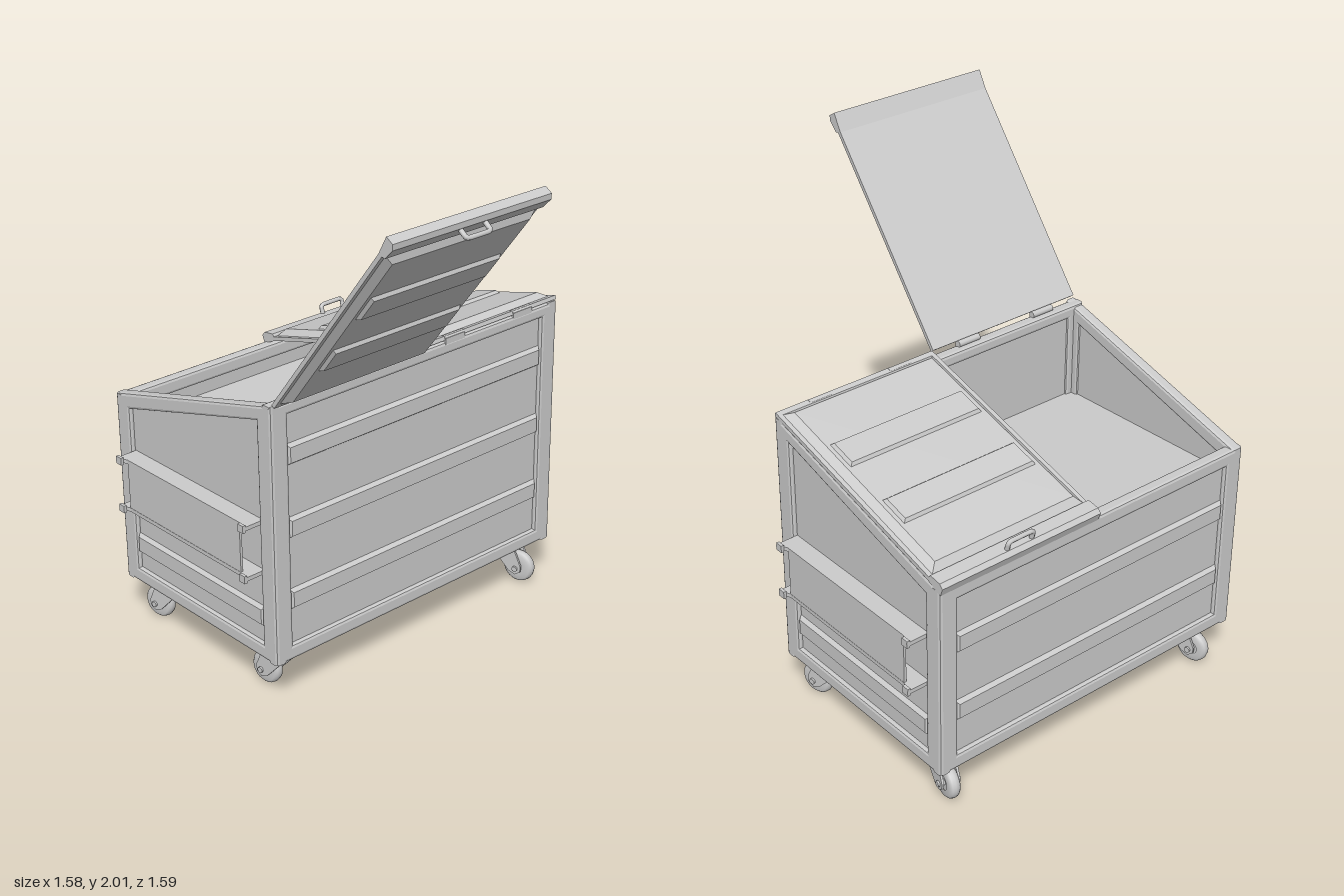
import * as THREE from 'three';

const mat = new THREE.MeshStandardMaterial({ color: 0xcccccc });

function add(parent, name, geo, x = 0, y = 0, z = 0) {
  const m = new THREE.Mesh(geo, mat);
  m.name = name;
  m.position.set(x, y, z);
  parent.add(m);
  return m;
}

function group(parent, name, x = 0, y = 0, z = 0) {
  const g = new THREE.Group();
  g.name = name;
  g.position.set(x, y, z);
  parent.add(g);
  return g;
}

const path = (pts) => pts.map(([x, y]) => new THREE.Vector2(x, y));

// Plate cut from an outline, centred on z = 0, with optional opening and chamfer
function plate(outline, thick, opening, bevel = 0) {
  const s = new THREE.Shape(path(outline));
  if (opening) s.holes.push(new THREE.Path(path(opening)));
  const depth = thick - 2 * bevel;
  return new THREE.ExtrudeGeometry(s, {
    depth, bevelEnabled: bevel > 0, bevelSize: bevel, bevelThickness: bevel,
    bevelOffset: -bevel, bevelSegments: 2,
  }).translate(0, 0, -depth / 2);
}

// Box standing on y = 0 whose top is drawn in on all sides
function taperedBox(w, h, d, inset) {
  const geo = new THREE.BoxGeometry(w, h, d).translate(0, h / 2, 0);
  const p = geo.attributes.position;
  for (let i = 0; i < p.count; i++) {
    if (p.getY(i) > h / 2) {
      p.setX(i, p.getX(i) - Math.sign(p.getX(i)) * inset);
      p.setZ(i, p.getZ(i) - Math.sign(p.getZ(i)) * inset);
    }
  }
  geo.computeVertexNormals();
  return geo;
}

const rect = (x0, x1, y0, y1) => [[x0, y0], [x1, y0], [x1, y1], [x0, y1]];

function buildBody(root) {
  const body = group(root, 'body');
  // Filled lower part, its top is the inner floor
  add(body, 'innerFloor', plate([[-0.74, 0.2], [0.145, 0.2], [0.145, 0.84], [-0.74, 0.87]], 1.39));
  add(body, 'underside', new THREE.BoxGeometry(0.9, 0.02, 1.42), -0.2975, 0.2, 0);

  // Sloping end walls with recessed panel and rib
  const end = [[-0.76, 0.19], [0.165, 0.19], [0.165, 1.235], [-0.76, 0.98]];
  const endHole = [[-0.68, 0.25], [0.085, 0.25], [0.085, 1.155], [-0.68, 0.935]];
  const endPanel = [[-0.74, 0.21], [0.145, 0.21], [0.145, 1.21], [-0.74, 0.965]];
  for (const s of [1, -1]) {
    add(body, 'endFrame', plate(end, 0.05, endHole, 0.012), 0, 0, s * 0.695);
    add(body, 'endPanel', plate(endPanel, 0.022), 0, 0, s * 0.69);
    const rib = add(body, 'endRib', taperedBox(0.77, 0.017, 0.085, 0.012), -0.2975, 0.36, s * 0.7);
    rib.rotation.x = s * Math.PI / 2;
  }

  // Tall and low long walls
  const walls = [
    { s: 1, x: 0.14, top: 1.23, hole: 1.18, ribs: [0.435, 0.727, 1.018] },
    { s: -1, x: -0.735, top: 0.98, hole: 0.92, ribs: [0.435, 0.727] },
  ];
  for (const w of walls) {
    const frame = add(body, 'longFrame', plate(rect(-0.72, 0.72, 0.19, w.top), 0.05,
      rect(-0.64, 0.64, 0.25, w.hole), 0.012), w.x);
    frame.rotation.y = Math.PI / 2;
    const panel = add(body, 'longPanel', plate(rect(-0.7, 0.7, 0.21, w.top - 0.02), 0.022), w.x - w.s * 0.005);
    panel.rotation.y = Math.PI / 2;
    for (const y of w.ribs) {
      const rib = add(body, 'longRib', taperedBox(0.085, 0.017, 1.285, 0.012), w.x + w.s * 0.005, y, 0);
      rib.rotation.z = -w.s * Math.PI / 2;
    }
  }
}

// Lifting sleeve, open at both ends, with flared flanges
function buildSleeve(root, s) {
  const g = group(root, 'liftingSleeve');
  const flange = [[-0.675, 0.695], [-0.675, 0.795], [-0.63, 0.775], [0.04, 0.775], [0.085, 0.795], [0.085, 0.695]]
    .map(([x, z]) => [x, z * s]);
  for (const y of [0.548, 0.752]) {
    const f = add(g, 'sleeveFlange', plate(flange, 0.016), 0, y, 0);
    f.rotation.x = Math.PI / 2;
  }
  add(g, 'sleevePanel', new THREE.BoxGeometry(0.67, 0.2, 0.01), -0.295, 0.65, s * 0.769);
  for (const x of [-0.66, 0.07]) {
    for (const y of [0.548, 0.752]) {
      add(g, 'sleeveTip', new THREE.BoxGeometry(0.03, 0.03, 0.012), x, y, s * 0.788);
    }
  }
}

// Lid pivots at its origin and runs towards -x when closed
function buildLid(root, name, z, angle) {
  const lid = group(root, name, 0.165, 1.238, z);
  lid.rotation.z = angle;
  add(lid, 'lidSheet', new THREE.BoxGeometry(0.955, 0.016, 0.71), -0.4825, 0.008, 0);
  // Raised bevelled border around a slightly sunken field
  add(lid, 'lidPanel', taperedBox(0.87, 0.024, 0.68, 0.03), -0.46, 0.014, 0);
  for (const x of [-0.31, -0.615]) {
    add(lid, 'lidRib', taperedBox(0.125, 0.013, 0.59, 0.01), x, 0.037, 0);
  }
  // Turned lip along the free edge
  const lip = plate([[-0.965, -0.012], [-0.89, 0.0], [-0.9, 0.028], [-0.95, 0.034], [-0.968, 0.022]], 0.71);
  add(lid, 'lidLip', lip);
  // Grip
  const grip = new THREE.CatmullRomCurve3([[0.02, -0.055], [0.06, -0.055], [0.068, -0.045], [0.068, 0.045],
    [0.06, 0.055], [0.02, 0.055]].map(([y, zz]) => new THREE.Vector3(-0.94, y, zz)), false, 'catmullrom', 0.1);
  add(lid, 'lidGrip', new THREE.TubeGeometry(grip, 24, 0.009, 8));
}

function buildHinge(root, z) {
  const g = group(root, 'hinge', 0.15, 1.24, z);
  const pin = add(g, 'hingePin', new THREE.CylinderGeometry(0.013, 0.013, 0.1, 12));
  pin.rotation.x = Math.PI / 2;
  add(g, 'hingeLeaf', new THREE.BoxGeometry(0.016, 0.04, 0.1), 0.006, -0.015, 0);
}

// Swivel caster, trailing towards -x before it is turned
function buildCaster(root, x, z, yaw) {
  const c = group(root, 'caster', x, 0, z);
  c.rotation.y = yaw;
  add(c, 'mountPlate', new THREE.BoxGeometry(0.13, 0.012, 0.13), 0, 0.185, 0);
  add(c, 'swivel', new THREE.CylinderGeometry(0.05, 0.042, 0.03, 20), 0, 0.168, 0);
  add(c, 'forkCrown', new THREE.BoxGeometry(0.09, 0.016, 0.07), -0.005, 0.15, 0);
  const cheek = [[-0.05, 0.158], [0.04, 0.158], [0.045, 0.13], [-0.03, 0.05], [-0.06, 0.04], [-0.082, 0.055], [-0.085, 0.08]];
  for (const s of [1, -1]) {
    const f = add(c, 'forkCheek', plate(cheek, 0.009), 0, 0, s * 0.033);
    f.rotation.x = 0;
  }
  const tyre = [[0.03, -0.022], [0.055, -0.022], [0.064, -0.013], [0.067, 0], [0.064, 0.013], [0.055, 0.022], [0.03, 0.022]];
  const wheel = add(c, 'wheel', new THREE.LatheGeometry(path(tyre), 28), -0.06, 0.067, 0);
  wheel.rotation.x = Math.PI / 2;
  const hub = add(c, 'hub', new THREE.CylinderGeometry(0.034, 0.034, 0.034, 20), -0.06, 0.067, 0);
  hub.rotation.x = Math.PI / 2;
  const axle = add(c, 'axle', new THREE.CylinderGeometry(0.012, 0.012, 0.09, 10), -0.06, 0.067, 0);
  axle.rotation.x = Math.PI / 2;
}

export function createModel() {
  const root = new THREE.Group();
  root.name = 'wheeledWasteContainer';
  buildBody(root);
  for (const s of [1, -1]) buildSleeve(root, s);
  buildLid(root, 'closedLid', -0.365, 0.27);
  buildLid(root, 'openLid', 0.36, 0.91 - Math.PI);
  for (const z of [-0.53, -0.17, 0.16, 0.53]) buildHinge(root, z);
  buildCaster(root, -0.62, 0.61, 0.2);
  buildCaster(root, -0.62, -0.61, -0.2);
  buildCaster(root, 0.04, 0.61, 0.1);
  buildCaster(root, 0.04, -0.61, Math.PI + 0.25);
  return root;
}
